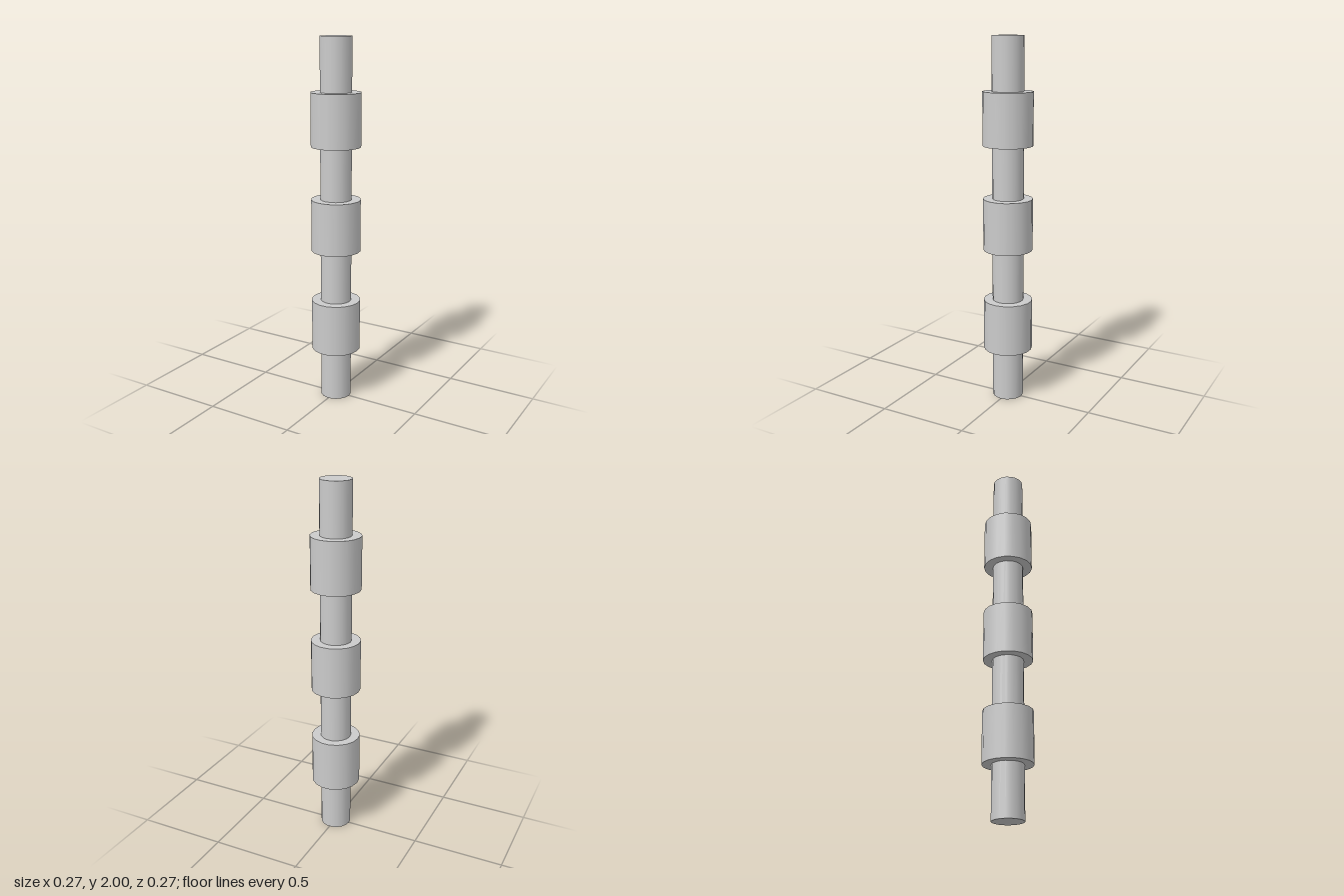
import * as THREE from 'three';

const SIDES = 18;
const STEP = 2 / 7; // rod and sleeves alternate in seven equal lengths

export function createModel() {
  const group = new THREE.Group();
  const material = new THREE.MeshStandardMaterial({ color: 0xcccccc });

  // Upright cylinder with a corner on the x axis
  const addCylinder = (name, radius, height, centreY) => {
    const geometry = new THREE.CylinderGeometry(radius, radius, height, SIDES, 1, false, Math.PI / 2);
    const mesh = new THREE.Mesh(geometry, material);
    mesh.name = name;
    mesh.position.y = centreY;
    group.add(mesh);
  };

  // Full-height core
  addCylinder('rod', 0.085, 2, 1);

  // Three wider sleeves, evenly spaced
  ['lowerSleeve', 'middleSleeve', 'upperSleeve'].forEach((name, i) => {
    addCylinder(name, 0.135, STEP, STEP * (1.5 + 2 * i));
  });

  return group;
}
